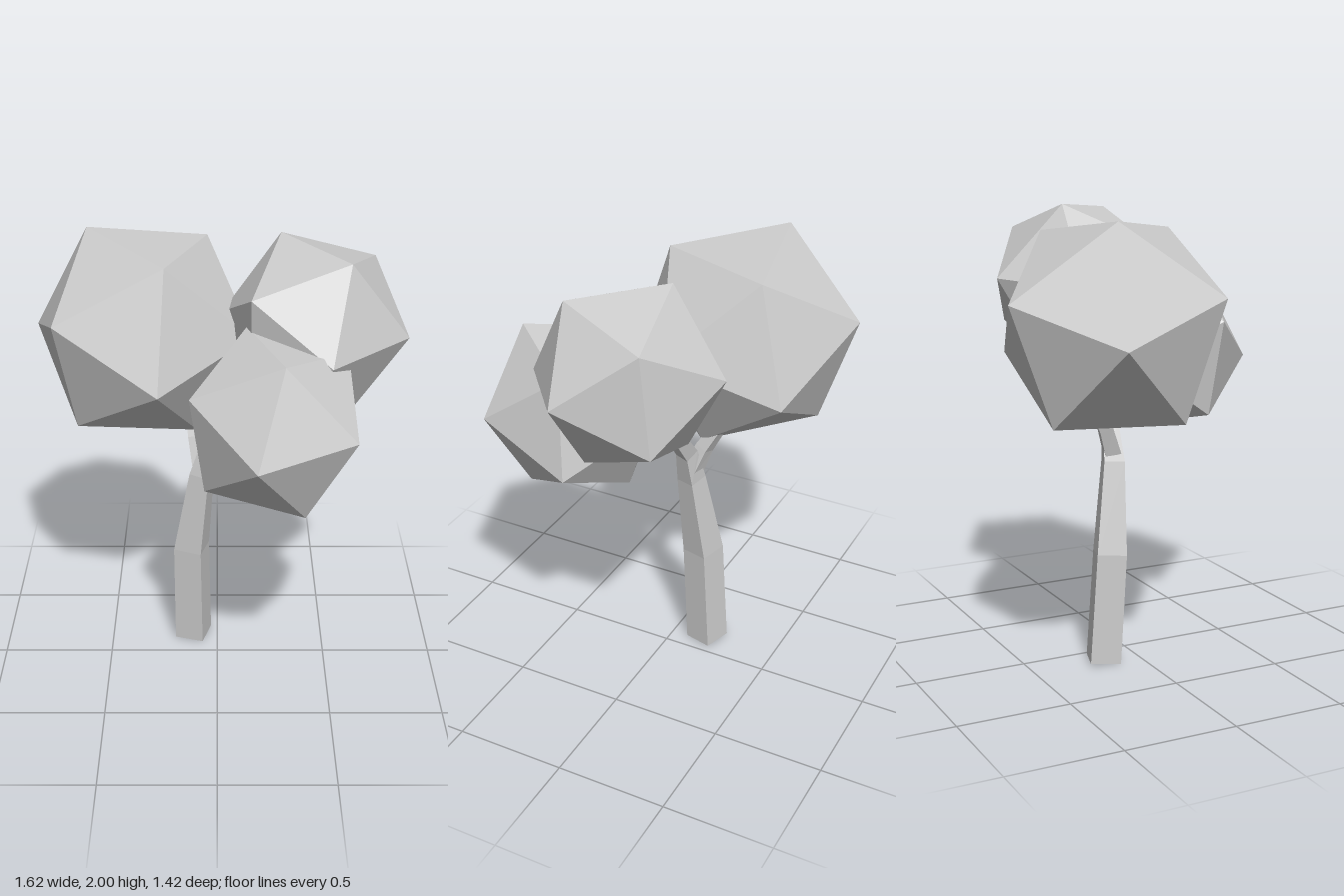
import * as THREE from 'three';

const material = new THREE.MeshStandardMaterial({ color: 0xcccccc, flatShading: true });

// Square limb swept along [x, y, z, width] stations
function limb(name, stations) {
  const pts = stations.map(([x, y, z]) => new THREE.Vector3(x, y, z));
  const side = new THREE.Vector3(0.13, 0, 0.04);
  const pos = [], index = [], last = pts.length - 1;
  pts.forEach((p, i) => {
    const t = pts[Math.min(i + 1, last)].clone().sub(pts[Math.max(i - 1, 0)]).normalize();
    const x = side.clone().addScaledVector(t, -side.dot(t)).normalize();
    const z = x.clone().cross(t);
    const h = stations[i][3] / 2;
    for (const [a, b] of [[1, 1], [1, -1], [-1, -1], [-1, 1]]) {
      pos.push(...p.clone().addScaledVector(x, a * h).addScaledVector(z, b * h).toArray());
    }
    if (i === last) return;
    for (let k = 0; k < 4; k++) {
      const a = i * 4 + k, b = i * 4 + (k + 1) % 4;
      index.push(a, b, b + 4, a, b + 4, a + 4);
    }
  });
  const e = last * 4;
  index.push(0, 2, 1, 0, 3, 2, e, e + 1, e + 2, e, e + 2, e + 3);
  const indexed = new THREE.BufferGeometry();
  indexed.setAttribute('position', new THREE.Float32BufferAttribute(pos, 3));
  indexed.setIndex(index);
  const geometry = indexed.toNonIndexed();
  geometry.computeVertexNormals();
  const mesh = new THREE.Mesh(geometry, material);
  mesh.name = name;
  return mesh;
}

// Icosahedron turned so two neighbouring corners point along a and b
function crown(name, radius, centre, a, b) {
  const va = new THREE.Vector3(...a).normalize();
  const vb = new THREE.Vector3(...b).normalize();
  const x = vb.clone().sub(va).normalize();
  const y = vb.clone().add(va).normalize();
  const mesh = new THREE.Mesh(new THREE.IcosahedronGeometry(radius, 0), material);
  mesh.quaternion.setFromRotationMatrix(new THREE.Matrix4().makeBasis(x, y, x.clone().cross(y)));
  mesh.position.set(...centre);
  mesh.name = name;
  return mesh;
}

export function createModel() {
  const tree = new THREE.Group();
  tree.name = 'tree';
  tree.add(
    // Trunk bends over into the branch that carries the right-hand crown
    limb('trunk', [
      [-0.115, 0.005, -0.16, 0.135],
      [-0.12, 0.5, -0.13, 0.13],
      [-0.07, 0.9, -0.09, 0.09],
      [-0.03, 1.05, -0.085, 0.07],
      [0.12, 1.25, -0.075, 0.05],
      [0.25, 1.42, -0.06, 0.035],
    ]),
    // Short side branches
    limb('backBranch', [
      [-0.07, 0.94, -0.095, 0.07],
      [-0.095, 1.06, -0.14, 0.06],
      [-0.12, 1.2, -0.22, 0.045],
    ]),
    limb('frontTwig', [
      [0.07, 1.18, -0.085, 0.04],
      [0.1, 1.2, -0.03, 0.04],
      [0.13, 1.23, 0.06, 0.03],
    ]),
    // Faceted foliage
    crown('largeCrown', 0.512, [-0.33, 1.54, -0.22], [0.08, -0.12, 0.49], [0.11, 0.39, 0.32]),
    crown('upperCrown', 0.416, [0.415, 1.635, -0.04], [0.055, -0.045, 0.41], [0.135, 0.335, 0.205]),
    crown('frontCrown', 0.416, [0.245, 1.33, 0.305], [-0.085, -0.05, 0.405], [0.025, 0.34, 0.235]),
  );
  return tree;
}
